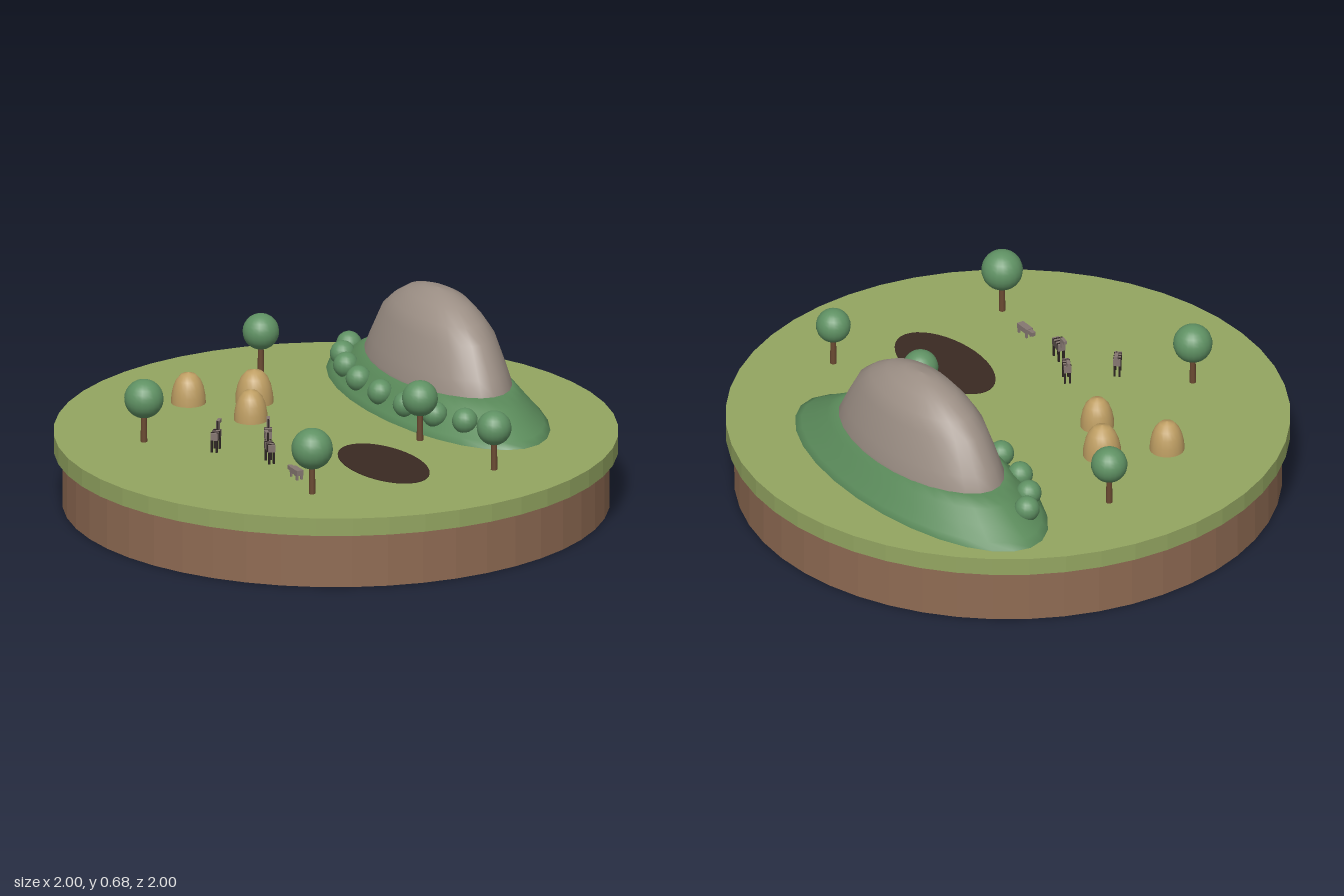
import * as THREE from 'three';

const mat = (name, color, flatShading = false) => {
  const m = new THREE.MeshStandardMaterial({ color, flatShading });
  m.name = name;
  return m;
};

const GROUND = 0.265;

export function createModel() {
  const model = new THREE.Group();
  model.name = 'savannaIsland';

  const soil = mat('soil', 0x8f6b53, true);
  const grass = mat('grass', 0x93a561, true);
  const hillGreen = mat('hillGreen', 0x5a8a5a);
  const leaf = mat('leaf', 0x5f9163);
  const stone = mat('stone', 0x9c8f85);
  const water = mat('darkWater', 0x3a2a22);
  const straw = mat('straw', 0xbd9d62);
  const bark = mat('bark', 0x6b4a32);
  const hide = mat('hide', 0x857771, true);
  const stripe = mat('darkStripe', 0x2c2422, true);

  const add = (parent, name, geometry, material, x = 0, y = 0, z = 0) => {
    const mesh = new THREE.Mesh(geometry, material);
    mesh.name = name;
    mesh.position.set(x, y, z);
    parent.add(mesh);
    return mesh;
  };
  const lathe = (points, segments) =>
    new THREE.LatheGeometry(points.map(([r, y]) => new THREE.Vector2(r, y)), segments);

  // Round base: soil below, turf with a small overhang above
  add(model, 'soilBase', new THREE.CylinderGeometry(0.97, 0.97, 0.2, 48), soil, 0, 0.1, 0);
  add(model, 'turf', new THREE.CylinderGeometry(1, 1, 0.065, 48), grass, 0, 0.2325, 0);

  // Oval hill and the rock dome on top, both turned the same way
  const tilt = -THREE.MathUtils.degToRad(20);
  const oval = (name, points, a, b, material) => {
    const mesh = add(model, name, lathe(points, 28), material, 0.034, 0, -0.507);
    mesh.scale.set(a, 1, b);
    mesh.rotation.y = tilt;
  };
  oval('hill', [[1, 0.24], [1, 0.268], [0.95, 0.285], [0.85, 0.322], [0.75, 0.36], [0.66, 0.39], [0, 0.392]],
    0.643, 0.286, hillGreen);
  oval('rockDome', [[1, 0.37], [1, 0.392], [0.93, 0.445], [0.77, 0.555], [0.62, 0.605], [0.42, 0.652], [0.2, 0.675], [0, 0.682]],
    0.414, 0.196, stone);

  // Bushes along the foot of the hill
  const bushGeometry = new THREE.SphereGeometry(0.046, 16, 12);
  [[-0.475, -0.605], [-0.42, -0.51], [-0.325, -0.42], [-0.19, -0.335],
    [-0.03, -0.27], [0.13, -0.225], [0.28, -0.21], [0.41, -0.225]].forEach(([x, z]) =>
    add(model, 'bush', bushGeometry, leaf, x, 0.335, z));

  // Trees: x, z, crown radius, crown height
  [[-0.63, -0.31, 0.065, 0.42], [0.295, -0.115, 0.064, 0.421], [0.712, -0.04, 0.062, 0.42],
    [-0.425, 0.545, 0.07, 0.425], [0.41, 0.59, 0.074, 0.432]].forEach(([x, z, r, y]) => {
    const tree = new THREE.Group();
    tree.name = 'tree';
    tree.position.set(x, 0, z);
    add(tree, 'trunk', new THREE.CylinderGeometry(0.009, 0.012, y - GROUND, 8), bark, 0, (y + GROUND) / 2, 0);
    add(tree, 'crown', new THREE.SphereGeometry(r, 20, 14), leaf, 0, y, 0);
    model.add(tree);
  });

  // Domed straw huts: x, z, radius, height
  const hutGeometry = lathe([[1, 0], [0.98, 0.25], [0.88, 0.52], [0.7, 0.76], [0.42, 0.93], [0, 1]], 20);
  [[-0.43, -0.05, 0.068, 0.122], [-0.6, 0.11, 0.062, 0.113], [-0.305, 0.11, 0.06, 0.113]].forEach(([x, z, r, h]) =>
    add(model, 'hut', hutGeometry, straw, x, GROUND, z).scale.set(r, h, r));

  // Water hole
  const pond = add(model, 'waterHole', new THREE.CylinderGeometry(1, 1, 0.003, 40), water, 0.378, GROUND + 0.001, 0.172);
  pond.scale.set(0.243, 1, 0.133);
  pond.rotation.y = -THREE.MathUtils.degToRad(21);

  // Grazing animals, modelled facing +x and turned along their heading
  const animal = (name, x, z, dx, dz, small) => {
    const beast = new THREE.Group();
    beast.name = name;
    const box = (part, w, h, d, px, py, pz, material = hide) =>
      add(beast, part, new THREE.BoxGeometry(w, h, d), material, px, py, pz);
    const leg = small ? 0.016 : 0.045;
    const bodyH = small ? 0.02 : 0.026;
    const mid = leg + bodyH / 2;
    box('body', 0.06, bodyH, 0.026, -0.015, mid, 0);
    for (const px of [-0.038, 0.008]) {
      for (const pz of [-0.009, 0.009]) box('leg', 0.008, leg, 0.007, px, leg / 2, pz, small ? hide : stripe);
    }
    if (small) {
      box('head', 0.026, 0.015, 0.016, 0.027, mid, 0);
    } else {
      for (const px of [-0.033, -0.015, 0.003]) box('stripe', 0.006, bodyH + 0.002, 0.028, px, mid, 0, stripe);
      box('neck', 0.011, 0.036, 0.011, 0.017, 0.08, 0);
      box('head', 0.032, 0.012, 0.012, 0.03, 0.095, 0);
      box('mane', 0.005, 0.036, 0.006, 0.01, 0.083, 0, stripe);
    }
    beast.position.set(x, GROUND, z);
    beast.rotation.y = Math.atan2(-dz, dx);
    model.add(beast);
  };
  animal('stripedGrazer', -0.053, 0.302, -0.07, -0.08, false);
  animal('stripedGrazer', 0.05, 0.415, -0.09, -0.06, false);
  animal('stripedGrazer', -0.175, 0.438, -0.05, -0.095, false);
  animal('smallGrazer', 0.238, 0.49, -0.075, -0.03, true);

  return model;
}
